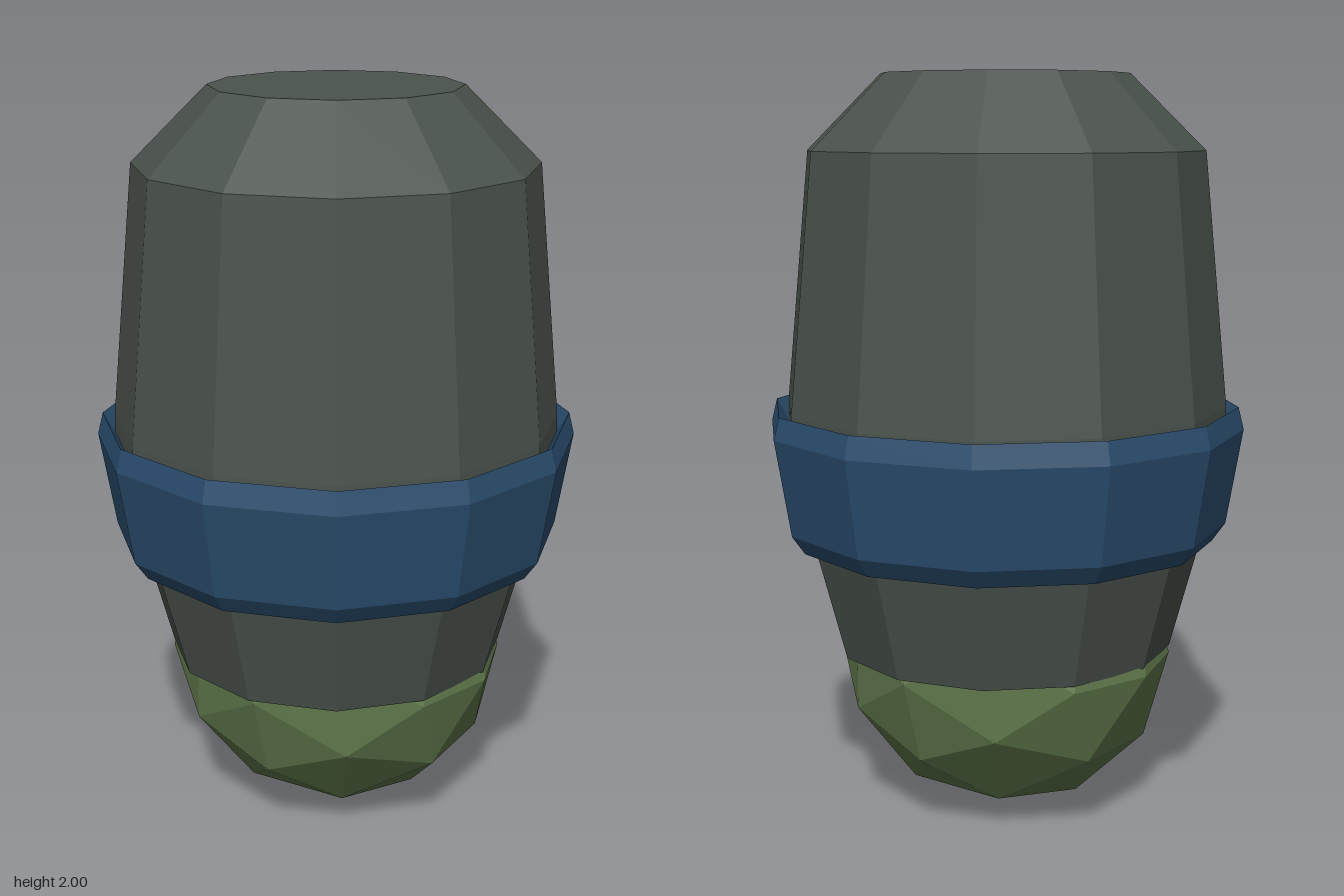
import * as THREE from 'three';

const SIDES = 12;

function material(color) {
  return new THREE.MeshStandardMaterial({ color, flatShading: true });
}

// Twelve-sided turned part; profile runs bottom to top as [radius, height]
function turned(name, profile, mat) {
  const points = profile.map(([r, y]) => new THREE.Vector2(r, y));
  const mesh = new THREE.Mesh(new THREE.LatheGeometry(points, SIDES), mat);
  mesh.name = name;
  return mesh;
}

export function createModel() {
  const model = new THREE.Group();
  model.name = 'capsule';

  // Tapered casing with a chamfered flat top and a closed underside
  model.add(turned('casing', [
    [0, 0.45], [0.46, 0.45], [0.54, 0.75], [0.605, 0.97],
    [0.602, 1.12], [0.535, 1.8], [0.333, 2], [0, 2],
  ], material(0x4b534d)));

  // Bevelled collar, its rims sloping back in to the casing
  model.add(turned('collar', [
    [0.54, 0.79], [0.572, 0.75], [0.607, 0.8], [0.65, 1.06],
    [0.635, 1.12], [0.6, 1.06], [0.54, 0.79],
  ], material(0x2a4d6e)));

  // Faceted round tip set into the underside
  const tip = new THREE.Mesh(new THREE.IcosahedronGeometry(1, 1), material(0x5f774b));
  tip.name = 'tip';
  tip.scale.set(0.468, 0.43, 0.437);
  tip.position.y = 0.43;
  model.add(tip);

  return model;
}
